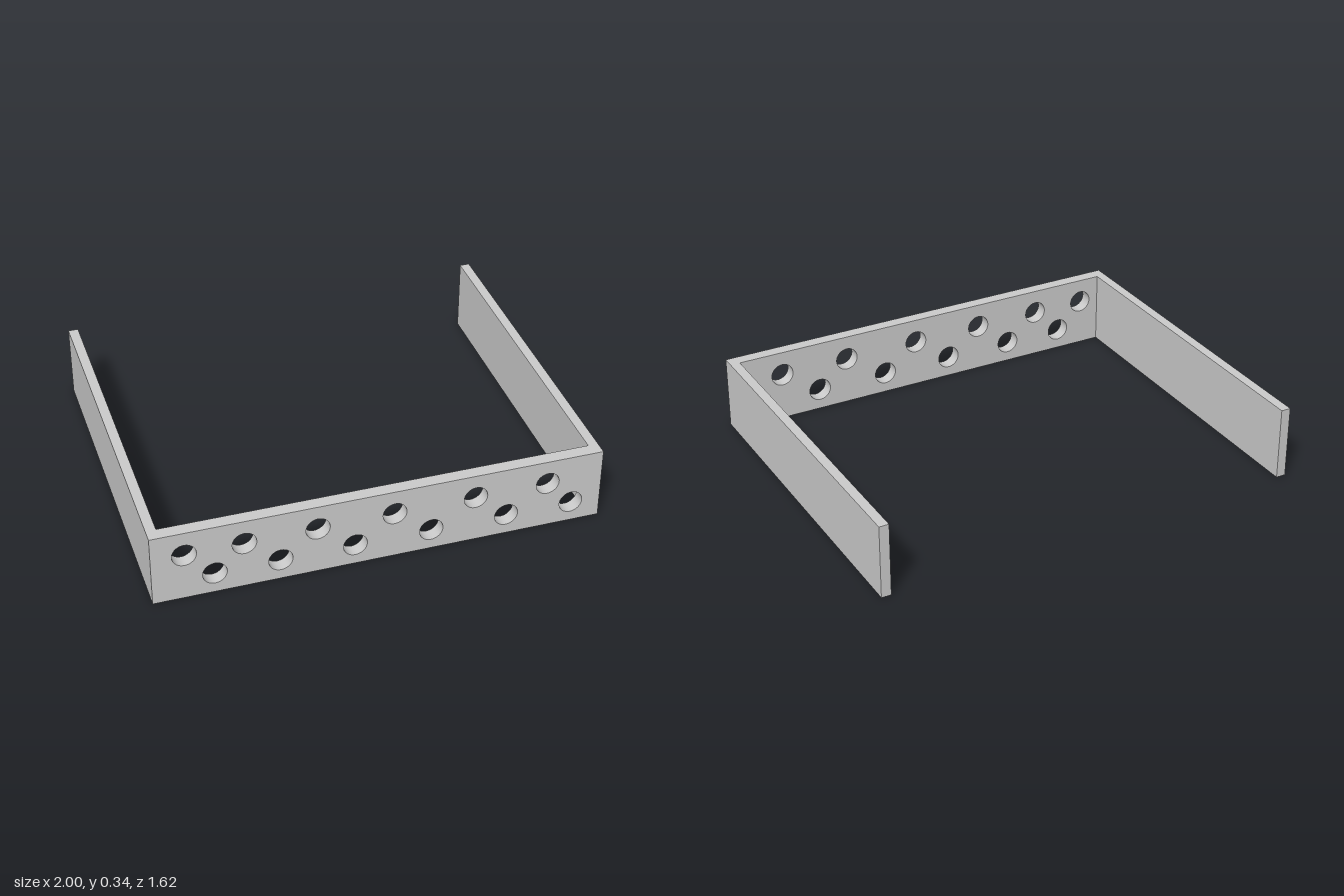
import * as THREE from 'three';

const HEIGHT = 0.34, HALF_DEPTH = 0.81, PANEL = 0.06, ARM = 0.045, HOLE_RADIUS = 0.053;

export function createModel() {
  const group = new THREE.Group();
  const material = new THREE.MeshStandardMaterial({ color: 0xcccccc });

  // Front panel with two staggered rows of round holes
  const outline = new THREE.Shape([
    new THREE.Vector2(-1, 0), new THREE.Vector2(1, 0),
    new THREE.Vector2(1, HEIGHT), new THREE.Vector2(-1, HEIGHT),
  ]);
  const rows = [
    { y: 0.225, xs: [-0.857, -0.6, -0.282, 0.057, 0.421, 0.75] },
    { y: 0.099, xs: [-0.73, -0.445, -0.117, 0.223, 0.565, 0.865] },
  ];
  for (const { y, xs } of rows) {
    for (const x of xs) {
      outline.holes.push(new THREE.Path().absarc(x, y, HOLE_RADIUS, 0, Math.PI * 2, true));
    }
  }
  const panelGeometry = new THREE.ExtrudeGeometry(outline, {
    depth: PANEL, bevelEnabled: false, curveSegments: 40,
  });
  const panel = new THREE.Mesh(panelGeometry, material);
  panel.name = 'frontPanel';
  panel.position.z = HALF_DEPTH - PANEL;
  group.add(panel);

  // Plain side arms running back from the panel
  const armLength = 2 * HALF_DEPTH - PANEL;
  const armGeometry = new THREE.BoxGeometry(ARM, HEIGHT, armLength);
  for (const side of [-1, 1]) {
    const arm = new THREE.Mesh(armGeometry, material);
    arm.name = side > 0 ? 'leftArm' : 'rightArm';
    arm.position.set(side * (1 - ARM / 2), HEIGHT / 2, -PANEL / 2);
    group.add(arm);
  }
  return group;
}
